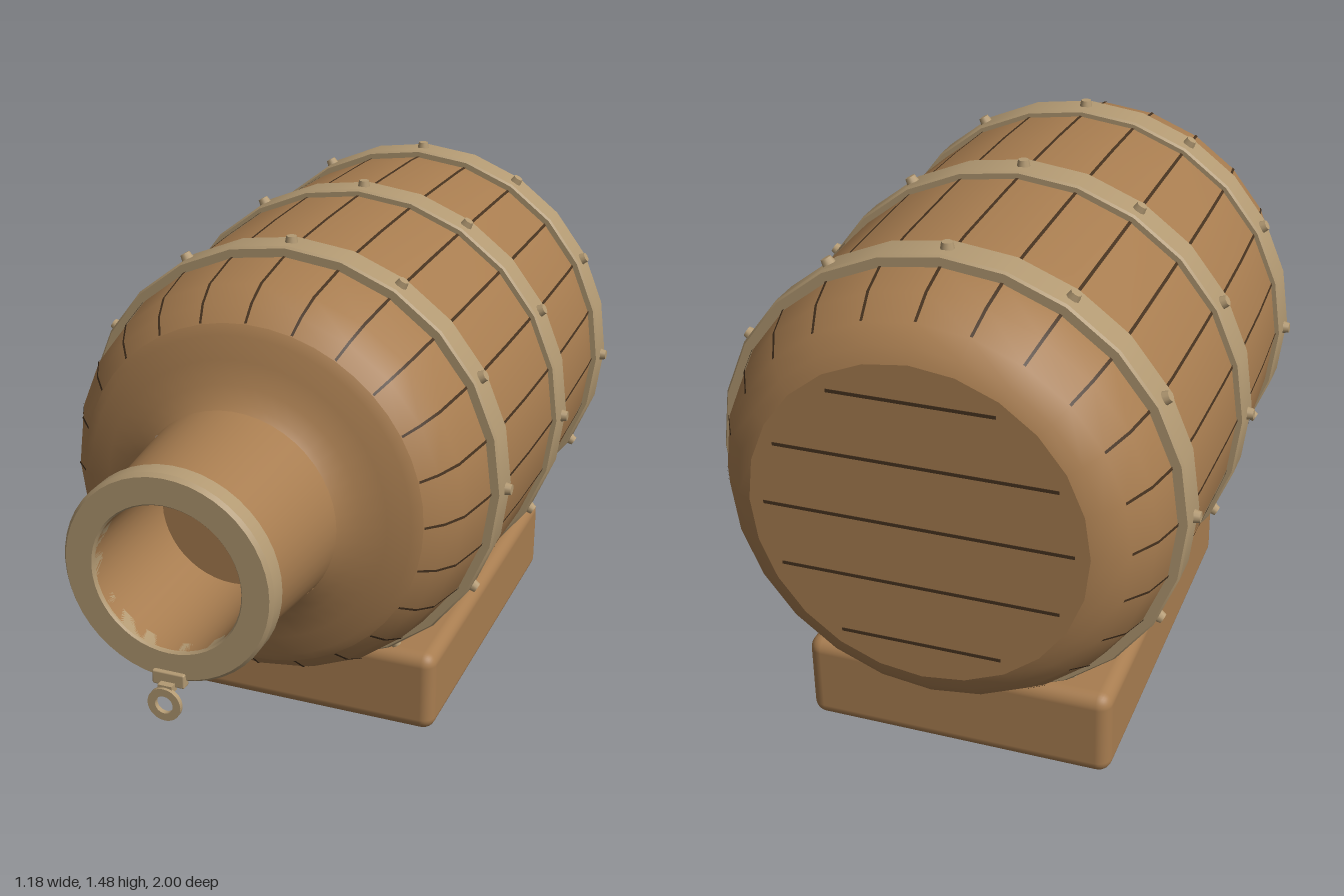
import * as THREE from 'three';
import { RoundedBoxGeometry } from 'three/addons/geometries/RoundedBoxGeometry.js';

const AXIS_Y = 0.89; // height of the barrel's axis
const STAVES = 24;

export function createModel() {
  const wood = new THREE.MeshStandardMaterial({ color: 0xa87d50 });
  wood.name = 'wood';
  const trim = new THREE.MeshStandardMaterial({ color: 0xb39a73 });
  trim.name = 'pale trim';
  const groove = new THREE.MeshStandardMaterial({ color: 0x46321f });
  groove.name = 'dark groove';

  const model = new THREE.Group();
  model.name = 'barrel';
  const body = new THREE.Group();
  body.name = 'barrelBody';
  body.position.y = AXIS_Y;
  model.add(body);

  const add = (parent, name, geometry, material, x = 0, y = 0, z = 0) => {
    const mesh = new THREE.Mesh(geometry, material);
    mesh.name = name;
    mesh.position.set(x, y, z);
    parent.add(mesh);
    return mesh;
  };
  // Turns [radius, z] points around the z axis; a doubled point makes a sharp edge
  const turn = (points, segments, start = 0, length = Math.PI * 2) =>
    new THREE.LatheGeometry(points.map(([r, z]) => new THREE.Vector2(r, z)), segments, start, length)
      .rotateX(Math.PI / 2);

  // Staved wall, back to front
  const wall = [
    [0.4, -1], [0.435, -0.985], [0.475, -0.95], [0.515, -0.885], [0.54, -0.8], [0.55, -0.65],
    [0.556, -0.4], [0.558, -0.2], [0.555, 0], [0.547, 0.2], [0.535, 0.3], [0.513, 0.42],
    [0.482, 0.478], [0.445, 0.515],
  ];
  add(body, 'staves', turn(wall, STAVES), wood);
  add(body, 'backHead', turn([[0, -1], [0.4, -1]], STAVES), wood);
  add(body, 'frontHead', turn([[0.445, 0.515], [0.42, 0.53], [0.365, 0.543], [0.31, 0.562], [0.275, 0.585], [0.26, 0.6]], 48), wood);

  // Dark seams between the staves
  const seamPath = wall.slice(2).map(([r, z]) => [r + 0.002, z]);
  const seamAngle = 0.014;
  for (let i = 0; i < STAVES; i++) {
    const angle = (i / STAVES) * Math.PI * 2;
    add(body, 'staveSeam', turn(seamPath, 1, angle - seamAngle / 2, seamAngle), groove);
  }

  // Plank seams across the back
  for (let i = -2; i <= 2; i++) {
    const y = i * 0.155;
    const width = 2 * Math.sqrt(0.365 ** 2 - y * y);
    add(body, 'backSeam', new THREE.BoxGeometry(width, 0.008, 0.004), groove, 0, y, -0.9995);
  }

  // Hoops with rivets
  for (const [z, r] of [[0.235, 0.564], [-0.265, 0.576], [-0.76, 0.566]]) {
    const h = 0.045;
    const hoop = [
      [r - 0.04, z - h], [r - 0.005, z - h], [r - 0.005, z - h], [r, z - h + 0.006], [r, z - h + 0.006],
      [r, z + h - 0.006], [r, z + h - 0.006], [r - 0.005, z + h], [r - 0.005, z + h], [r - 0.04, z + h],
    ];
    add(body, 'hoop', turn(hoop, STAVES), trim);
    for (let i = 0; i < 12; i++) {
      const angle = (i / 12) * Math.PI * 2;
      const rivet = new THREE.CylinderGeometry(0.013, 0.019, 0.03, 10).translate(0, r - 0.001, 0);
      add(body, 'rivet', rivet, trim, 0, 0, z).rotation.z = angle;
    }
  }

  // Hollow neck and its rim
  add(body, 'neck', turn([[0.26, 0.597], [0.232, 0.91]], 48), wood);
  add(body, 'neckBore', turn([[0.18, 0.955], [0.18, 0.62], [0.18, 0.62], [0, 0.62]], 48), wood);
  add(body, 'neckRim', turn([
    [0.18, 0.903], [0.248, 0.903], [0.248, 0.903], [0.256, 0.912], [0.256, 0.912],
    [0.256, 0.955], [0.256, 0.955], [0.248, 0.965], [0.248, 0.965],
    [0.184, 0.965], [0.184, 0.965], [0.18, 0.96], [0.18, 0.96], [0.18, 0.92],
  ], 48), trim);

  // Tab and small ring hanging below the rim
  add(model, 'ringTab', new RoundedBoxGeometry(0.08, 0.035, 0.025, 2, 0.004), trim, 0, 0.643, 0.963);
  add(model, 'ringLink', new THREE.BoxGeometry(0.035, 0.02, 0.025), trim, 0, 0.627, 0.98);
  const ringShape = new THREE.Shape().absarc(0, 0, 0.041, 0, Math.PI * 2);
  ringShape.holes.push(new THREE.Path().absarc(0, 0, 0.022, 0, Math.PI * 2, true));
  const ring = new THREE.ExtrudeGeometry(ringShape, { depth: 0.012, bevelEnabled: false, curveSegments: 24 });
  add(model, 'hangingRing', ring, trim, 0, 0.591, 0.988);

  // Stand
  add(model, 'cradle', new RoundedBoxGeometry(0.784, 0.23, 1.05, 4, 0.035), wood, 0, 0.253, -0.285);
  add(model, 'foot', new RoundedBoxGeometry(0.404, 0.16, 0.39, 4, 0.02), wood, 0, 0.08, -0.235);

  return model;
}
